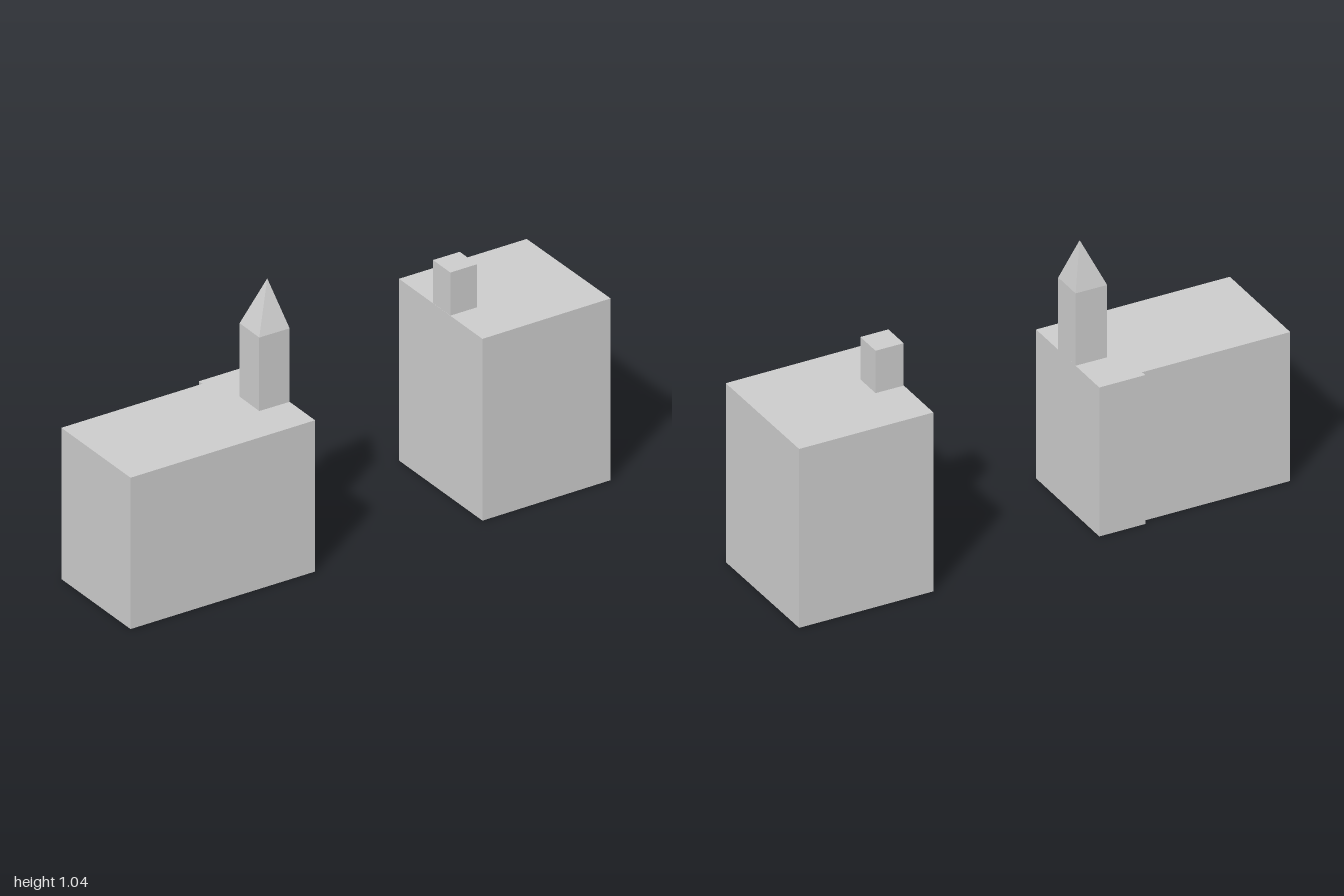
import * as THREE from 'three';

const material = new THREE.MeshStandardMaterial({ color: 0xcccccc, flatShading: true });

// Upright block over a plan outline of [x, z] corners
function block(name, plan, y0, y1) {
  const shape = new THREE.Shape(plan.map(([x, z]) => new THREE.Vector2(x, -z)));
  const geometry = new THREE.ExtrudeGeometry(shape, { depth: y1 - y0, bevelEnabled: false });
  geometry.rotateX(-Math.PI / 2).translate(0, y0, 0);
  const mesh = new THREE.Mesh(geometry, material);
  mesh.name = name;
  return mesh;
}

// Pointed roof: one triangle from each plan edge up to the apex
function spire(name, plan, y, apex) {
  const points = plan.flatMap(([x, z], i) => {
    const [nx, nz] = plan[(i + 1) % plan.length];
    return [x, y, z, nx, y, nz, ...apex];
  });
  const geometry = new THREE.BufferGeometry();
  geometry.setAttribute('position', new THREE.Float32BufferAttribute(points, 3));
  geometry.computeVertexNormals();
  const mesh = new THREE.Mesh(geometry, material);
  mesh.name = name;
  return mesh;
}

export function createModel() {
  const model = new THREE.Group();
  model.name = 'buildings';

  // Long hall with a shallow step in its back wall, and a spired turret
  const hall = new THREE.Group();
  hall.name = 'hall';
  const hallPlan = [[-0.885, 0.503], [-0.16, 0.304], [-0.28, -0.13],
    [-0.452, -0.083], [-0.446, -0.062], [-1, 0.09]];
  const turretPlan = [[-0.321, 0.183], [-0.202, 0.152], [-0.235, 0.033], [-0.353, 0.064]];
  hall.add(
    block('hallWalls', hallPlan, 0, 0.587),
    block('turret', turretPlan, 0.587, 0.872),
    spire('turretSpire', turretPlan, 0.872, [-0.263, 1.045, 0.092])
  );

  // Taller house with a chimney flush with its side wall
  const house = new THREE.Group();
  house.name = 'house';
  house.add(
    block('houseWalls', [[0.495, 0.132], [1, -0.01], [0.858, -0.503], [0.356, -0.365]], 0, 0.705),
    block('chimney', [[0.442, -0.06], [0.547, -0.089], [0.518, -0.192], [0.413, -0.164]], 0.705, 0.872)
  );

  model.add(hall, house);
  return model;
}
